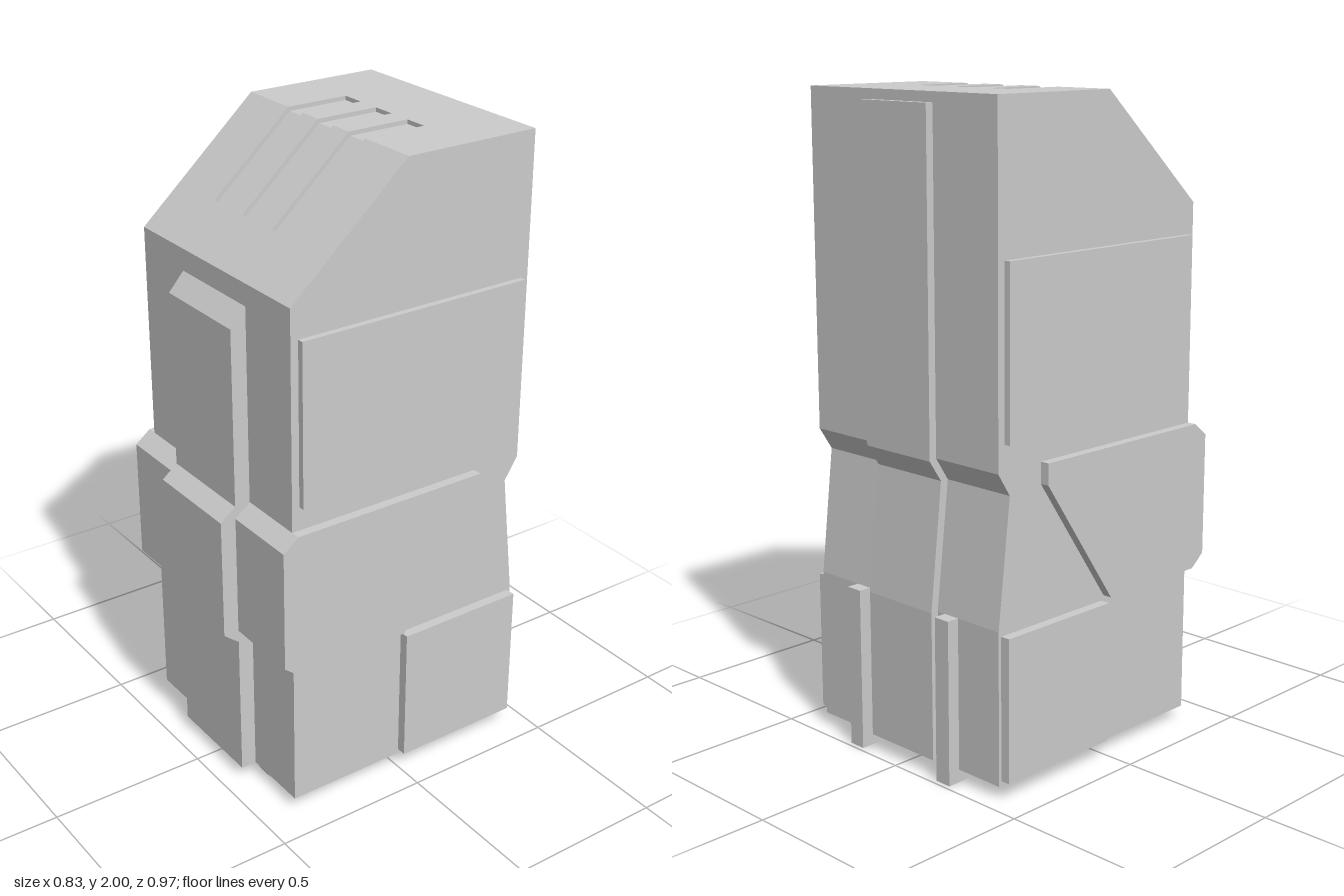
import * as THREE from 'three';

const material = new THREE.MeshStandardMaterial({ color: 0xcccccc, flatShading: true });

// Extrudes a side profile of [z, y] points across the width from x0 to x1
function slab(parent, name, points, x0, x1) {
  const shape = new THREE.Shape(points.map(([z, y]) => new THREE.Vector2(z, y)));
  const geometry = new THREE.ExtrudeGeometry(shape, { depth: x1 - x0, bevelEnabled: false });
  geometry.rotateY(-Math.PI / 2).translate(x1, 0, 0);
  const mesh = new THREE.Mesh(geometry, material);
  mesh.name = name;
  parent.add(mesh);
}

const rect = (z0, z1, y0, y1) => [[z0, y0], [z1, y0], [z1, y1], [z0, y1]];

export function createModel() {
  const model = new THREE.Group();
  model.name = 'block';
  const W = 0.385, F = 0.385, B = -0.445, shoulder = 1.655;

  // Main body with a pinched waist at the back
  slab(model, 'body', [
    [F, 0.04], [F, shoulder], [B, shoulder], [B, 0.97], [-0.4, 0.9], [B, 0.51], [B, 0.04],
  ], -W, W);

  // Sloped head, cut into slices so that three shallow vents run over the ridge
  const head = new THREE.Group();
  head.name = 'head';
  model.add(head);
  const slope = (2 - shoulder) / F;
  const solid = [[B, shoulder], [F, shoulder], [0, 2], [B, 2]];
  const d = 0.013, drop = d * Math.hypot(1, slope);
  const ridge = -(drop - d) / slope;
  const vented = [
    [B, shoulder], [F, shoulder], [0.26, 2 - 0.26 * slope],
    [0.252, 2 - 0.252 * slope - drop], [ridge, 2 - d], [-0.205, 2 - d], [-0.205, 2], [B, 2],
  ];
  const cuts = [-W];
  for (const x of [-0.15, 0, 0.15]) cuts.push(x - 0.0375, x + 0.0375);
  cuts.push(W);
  for (let i = 0; i < cuts.length - 1; i++) {
    const vent = i % 2 === 1;
    slab(head, vent ? 'ventSlice' : 'headSlice', vent ? vented : solid, cuts[i], cuts[i + 1]);
  }

  // Band wrapping the front and tapering away along the sides
  slab(model, 'waistBand', [
    [0.385, 0.51], [0.435, 0.55], [0.435, 0.935], [0.385, 0.975],
    [-0.275, 0.975], [-0.275, 0.91], [0, 0.51],
  ], -0.415, 0.415);

  // Raised strip down the front, stepping out over the band
  slab(model, 'frontStrip', [
    [0.3, 0.04], [0.435, 0.04], [0.435, 0.51], [0.485, 0.55], [0.485, 0.935],
    [0.435, 0.975], [0.435, 1.53], [0.385, 1.587], [0.3, 1.587],
  ], -0.165, 0.165);

  // Thin strip down the back, following the waist
  slab(model, 'backStrip', [
    [-0.35, 0.05], [-0.35, 1.97], [-0.47, 1.97], [-0.47, 0.965],
    [-0.427, 0.9], [-0.47, 0.51], [-0.47, 0.05],
  ], -0.135, 0.135);

  for (const s of [-1, 1]) {
    const side = s < 0 ? 'right' : 'left';
    const pair = (name, points, a, b) =>
      slab(model, side + name, points, Math.min(s * a, s * b), Math.max(s * a, s * b));

    // Side panels
    pair('UpperPanel', rect(-0.42, 0.36, 1.05, 1.56), 0.36, 0.405);
    pair('LowerPanel', rect(-0.435, -0.01, 0.055, 0.495), 0.36, 0.416);

    // Runner along the underside that turns up the back as a fin
    pair('Runner', [
      [0.36, 0], [0.385, 0.042], [-0.4, 0.042], [-0.4, 0.51], [-0.485, 0.51], [-0.485, 0],
    ], 0.165, 0.22);
  }
  return model;
}
